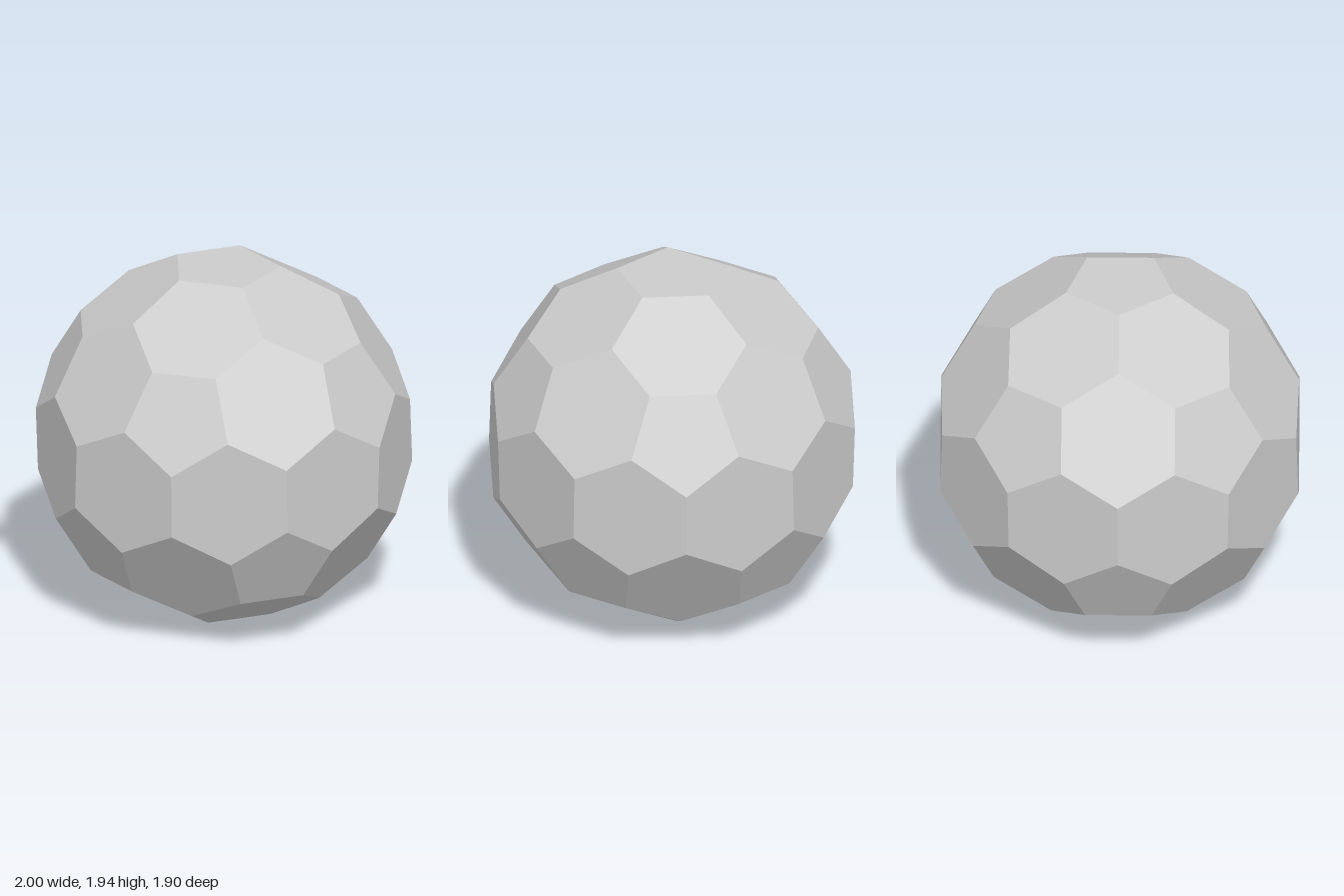
import * as THREE from 'three';

const PENTAGON_DISTANCE = 0.969; // centre of the ball to each pentagon
const PENTAGON_RADIUS = 0.301;
const JUNCTION_RADIUS = 1.008; // corners where three hexagons meet

// Directions of the twelve pentagon centres: two poles and two staggered rings
function pentagonDirections() {
  const dirs = [new THREE.Vector3(0, 1, 0), new THREE.Vector3(0, -1, 0)];
  for (let i = 0; i < 10; i++) {
    const a = (i * Math.PI) / 5;
    dirs.push(new THREE.Vector3(2 * Math.cos(a), i % 2 ? -1 : 1, 2 * Math.sin(a)).normalize());
  }
  return dirs;
}

const adjacent = (a, b) => Math.abs(a.dot(b) - 1 / Math.sqrt(5)) < 0.01;
const junction = (a, b, c) => a.clone().add(b).add(c).setLength(JUNCTION_RADIUS);

// Corner of pentagon v that points to the junction shared with b and c
function pentagonCorner(v, b, c) {
  const out = junction(v, b, c).projectOnPlane(v).setLength(PENTAGON_RADIUS);
  return out.addScaledVector(v, PENTAGON_DISTANCE);
}

// One flat-shaded panel, wound so it faces outwards
function addPanel(data, corners, triangles, normal) {
  const [a, b, c] = corners;
  const outward = b.clone().sub(a).cross(c.clone().sub(a)).dot(normal) > 0;
  for (const [i, j, k] of triangles) {
    for (const n of outward ? [i, j, k] : [i, k, j]) {
      data.positions.push(...corners[n].toArray());
      data.normals.push(...normal.toArray());
    }
  }
}

function panelMesh(name, data) {
  const geometry = new THREE.BufferGeometry();
  geometry.setAttribute('position', new THREE.Float32BufferAttribute(data.positions, 3));
  geometry.setAttribute('normal', new THREE.Float32BufferAttribute(data.normals, 3));
  const mesh = new THREE.Mesh(geometry, new THREE.MeshStandardMaterial({ color: 0xcccccc }));
  mesh.name = name;
  mesh.position.y = PENTAGON_DISTANCE;
  return mesh;
}

export function createModel() {
  const dirs = pentagonDirections();
  const pentagons = { positions: [], normals: [] };
  const hexagons = { positions: [], normals: [] };

  dirs.forEach((v, i) => {
    const near = dirs.filter((d) => adjacent(v, d));

    // Pentagon panel: neighbours sorted around its axis
    const u = near[0].clone().projectOnPlane(v).normalize();
    const w = v.clone().cross(u);
    const angle = (d) => Math.atan2(d.dot(w), d.dot(u));
    const ring = near.slice().sort((a, b) => angle(a) - angle(b));
    const corners = ring.map((d, k) => pentagonCorner(v, d, ring[(k + 1) % 5]));
    addPanel(pentagons, corners, [[0, 1, 2], [0, 2, 3], [0, 3, 4]], v);

    // Hexagon panel between each pair of neighbouring pentagons
    for (const n of near) {
      if (dirs.indexOf(n) < i) continue;
      const [x, y] = near.filter((d) => adjacent(n, d));
      const hex = [
        pentagonCorner(v, n, x), junction(v, n, x), pentagonCorner(n, v, x),
        pentagonCorner(n, v, y), junction(v, n, y), pentagonCorner(v, n, y),
      ];
      const normal = v.clone().add(n).normalize();
      addPanel(hexagons, hex, [[0, 1, 2], [0, 2, 3], [0, 3, 5], [3, 4, 5]], normal);
    }
  });

  const ball = new THREE.Group();
  ball.name = 'panelledBall';
  ball.add(panelMesh('pentagonPanels', pentagons), panelMesh('hexagonPanels', hexagons));
  return ball;
}
